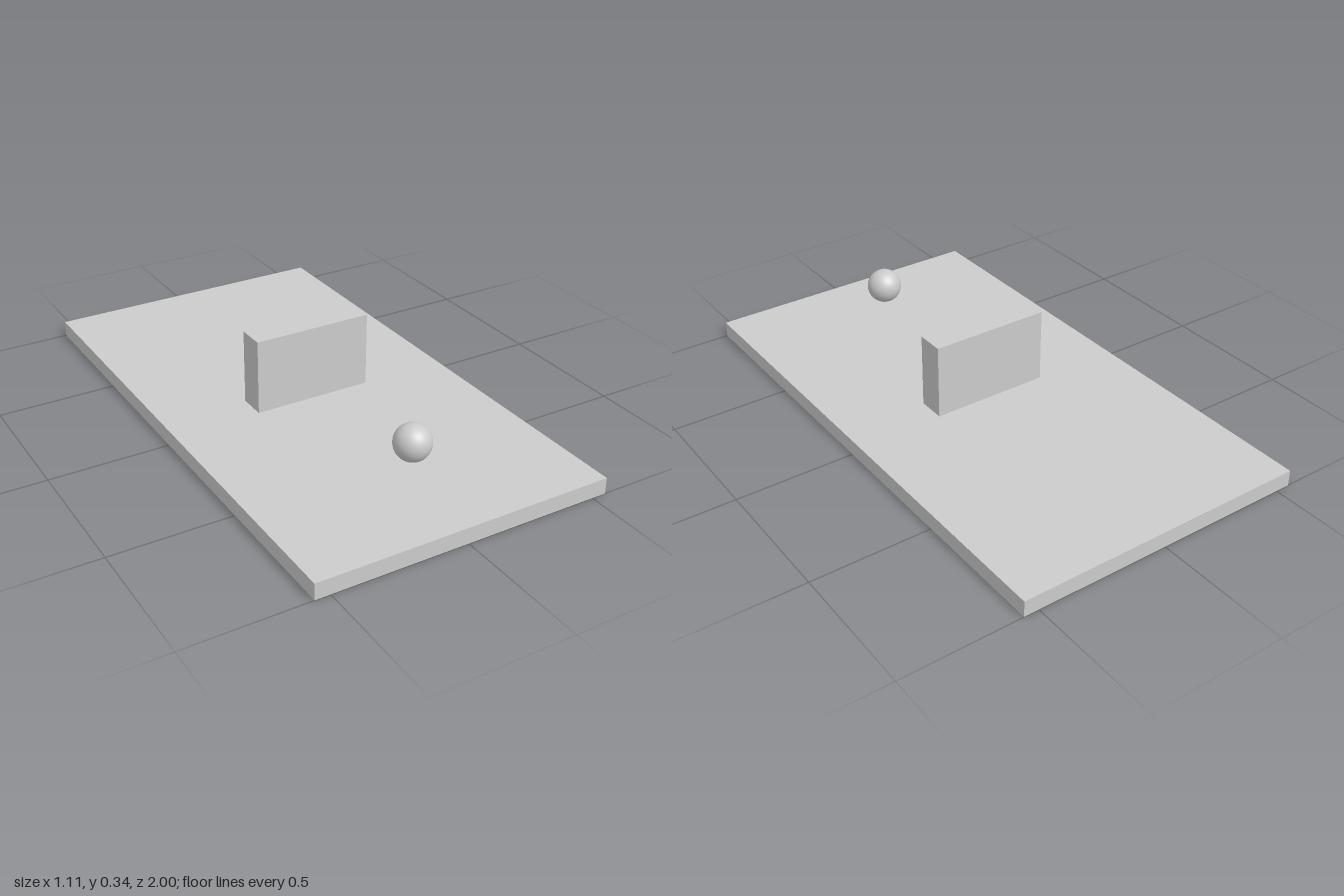
import * as THREE from 'three';

export function createModel() {
  const model = new THREE.Group();
  const material = new THREE.MeshStandardMaterial({ color: 0xcccccc });

  const add = (name, geometry, x, y, z) => {
    const mesh = new THREE.Mesh(geometry, material);
    mesh.name = name;
    mesh.position.set(x, y, z);
    model.add(mesh);
  };

  const baseHeight = 0.06;
  const wallHeight = 0.28;

  // Flat slab on the ground
  add('base', new THREE.BoxGeometry(1.11, baseHeight, 2), 0, baseHeight / 2, 0);

  // Upright block across the middle of the slab
  add('wall', new THREE.BoxGeometry(0.45, wallHeight, 0.104), 0, baseHeight + wallHeight / 2, 0);

  // Ball floating above the front half
  add('ball', new THREE.SphereGeometry(0.066, 32, 24), 0, 0.199, 0.68);

  return model;
}
